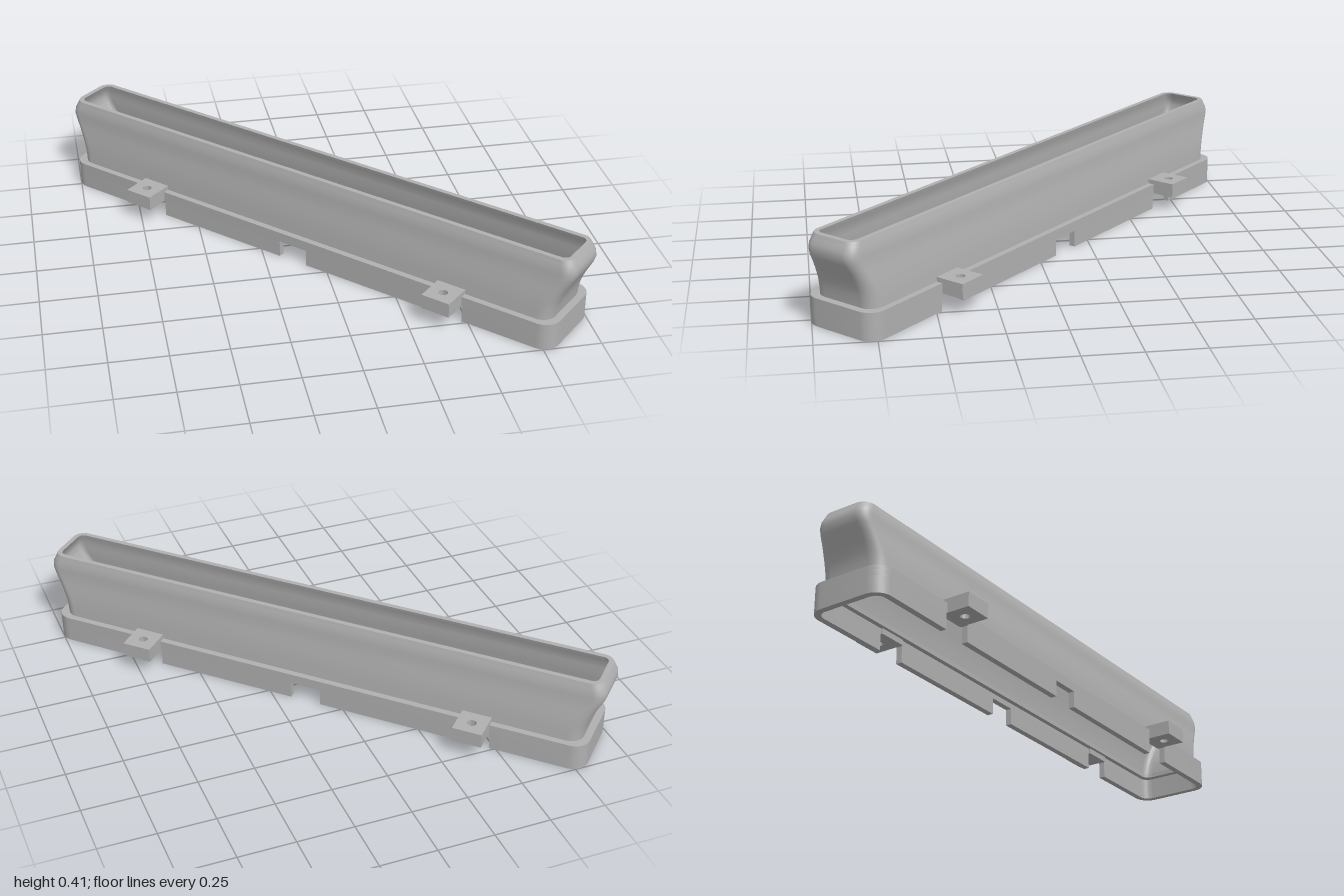
import * as THREE from 'three';
import { toCreasedNormals } from 'three/addons/utils/BufferGeometryUtils.js';

const CORNER = 8; // segments per rounded corner

// Rounded rectangle outline, counter-clockwise; optional u limit keeps only the +x end
function outline(L, W, r) {
  const pts = [];
  [[1, 1], [-1, 1], [-1, -1], [1, -1]].forEach(([sx, sy], q) => {
    for (let i = 0; i <= CORNER; i++) {
      const a = (q + i / CORNER) * Math.PI / 2;
      pts.push(new THREE.Vector2(sx * (L - r) + r * Math.cos(a), sy * (W - r) + r * Math.sin(a)));
    }
  });
  return pts;
}

// Extrude a plan shape upward from y0 to y1
function slab(shape, y0, y1) {
  const g = new THREE.ExtrudeGeometry(shape, { depth: y1 - y0, bevelEnabled: false, curveSegments: 16 });
  g.rotateX(-Math.PI / 2).translate(0, y0, 0);
  return toCreasedNormals(g, 0.6);
}

// Plan shape with one hole
function ringShape(outer, inner) {
  const s = new THREE.Shape(outer);
  s.holes.push(new THREE.Path(inner));
  return s;
}

// Closed wall lofted through rounded rectangles [y, L, W, r]
function loft(sections) {
  const pos = [], idx = [], n = 4 * (CORNER + 1), m = sections.length;
  for (const [y, L, W, r] of sections) for (const p of outline(L, W, r)) pos.push(p.x, y, -p.y);
  for (let i = 0; i < m; i++) for (let j = 0; j < n; j++) {
    const k = (i + 1) % m, l = (j + 1) % n;
    const a = i * n + j, b = i * n + l, c = k * n + l, d = k * n + j;
    idx.push(a, b, c, a, c, d);
  }
  const g = new THREE.BufferGeometry();
  g.setAttribute('position', new THREE.Float32BufferAttribute(pos, 3));
  g.setIndex(idx);
  return toCreasedNormals(g, 0.6);
}

export function createModel() {
  const grey = new THREE.MeshStandardMaterial({ color: 0xb0b0b0 });
  grey.name = 'plainGrey';
  const model = new THREE.Group();
  model.name = 'slottedDuctFrame';
  const frame = new THREE.Group();
  frame.name = 'frame';
  frame.rotation.y = -Math.PI / 4; // the long axis lies on the diagonal
  model.add(frame);
  const add = (name, geometry) => {
    const mesh = new THREE.Mesh(geometry, grey);
    mesh.name = name;
    frame.add(mesh);
    return mesh;
  };

  // Flared upper wall: outer side upward, then inner side downward
  const wall = 0.022;
  const outer = [
    [0.12, 1.24, 0.155, 0.06], [0.165, 1.245, 0.152, 0.058], [0.20, 1.254, 0.148, 0.056],
    [0.24, 1.270, 0.142, 0.054], [0.28, 1.290, 0.134, 0.052], [0.31, 1.306, 0.129, 0.05],
    [0.34, 1.316, 0.127, 0.05], [0.365, 1.313, 0.125, 0.05], [0.385, 1.304, 0.120, 0.05],
    [0.405, 1.295, 0.115, 0.05],
  ];
  const inner = outer.map(([y, L, W, r]) => [y, L - wall, W - wall, r - wall]).reverse();
  add('flaredWall', loft([...outer, ...inner]));

  // Base collar: ledge, band and notched skirt
  const L = 1.272, W = 0.183, R = 0.07, t = 0.028;
  const skirtOuter = outline(L, W, R), skirtInner = outline(L - t, W - t, R - t);
  const notchTop = 0.075, half = 0.07, tabU = 0.787;
  add('baseLedge', slab(ringShape(skirtOuter, outline(1.218, 0.133, 0.038)), 0.1, 0.12));
  add('baseBand', slab(ringShape(skirtOuter, skirtInner), notchTop, 0.1));

  // U-shaped skirt ends
  const endStart = tabU + half;
  const half1 = pts => {
    const p = pts.filter(q => q.x > 0);
    const up = p.filter(q => q.y > 0), down = p.filter(q => q.y < 0);
    return [new THREE.Vector2(endStart, down[0].y), ...down, ...up, new THREE.Vector2(endStart, up[up.length - 1].y)];
  };
  const endShape = new THREE.Shape([...half1(skirtOuter), ...half1(skirtInner).reverse()]);
  for (const s of [1, -1]) {
    const end = add('skirtEnd', slab(endShape, 0, notchTop));
    if (s < 0) end.rotation.y = Math.PI;
  }

  // Straight skirt pieces between notches
  const len = tabU - 2 * half;
  for (const sx of [1, -1]) for (const sz of [1, -1]) {
    const piece = add('skirtSide', new THREE.BoxGeometry(len, notchTop, t));
    piece.position.set(sx * tabU / 2, notchTop / 2, sz * (W - t / 2));
  }

  // Mounting tabs with screw holes
  const tabShape = new THREE.Shape([
    new THREE.Vector2(-0.066, 0.148), new THREE.Vector2(0.066, 0.148),
    new THREE.Vector2(0.066, 0.288), new THREE.Vector2(-0.066, 0.288),
  ]);
  tabShape.holes.push(new THREE.Path().absarc(0, 0.223, 0.02, 0, Math.PI * 2, true));
  const tabGeometry = slab(tabShape, notchTop, 0.14);
  for (const sx of [1, -1]) for (const turn of [0, Math.PI]) {
    const tab = add('mountingTab', tabGeometry);
    tab.position.x = sx * tabU;
    tab.rotation.y = turn;
  }
  return model;
}
